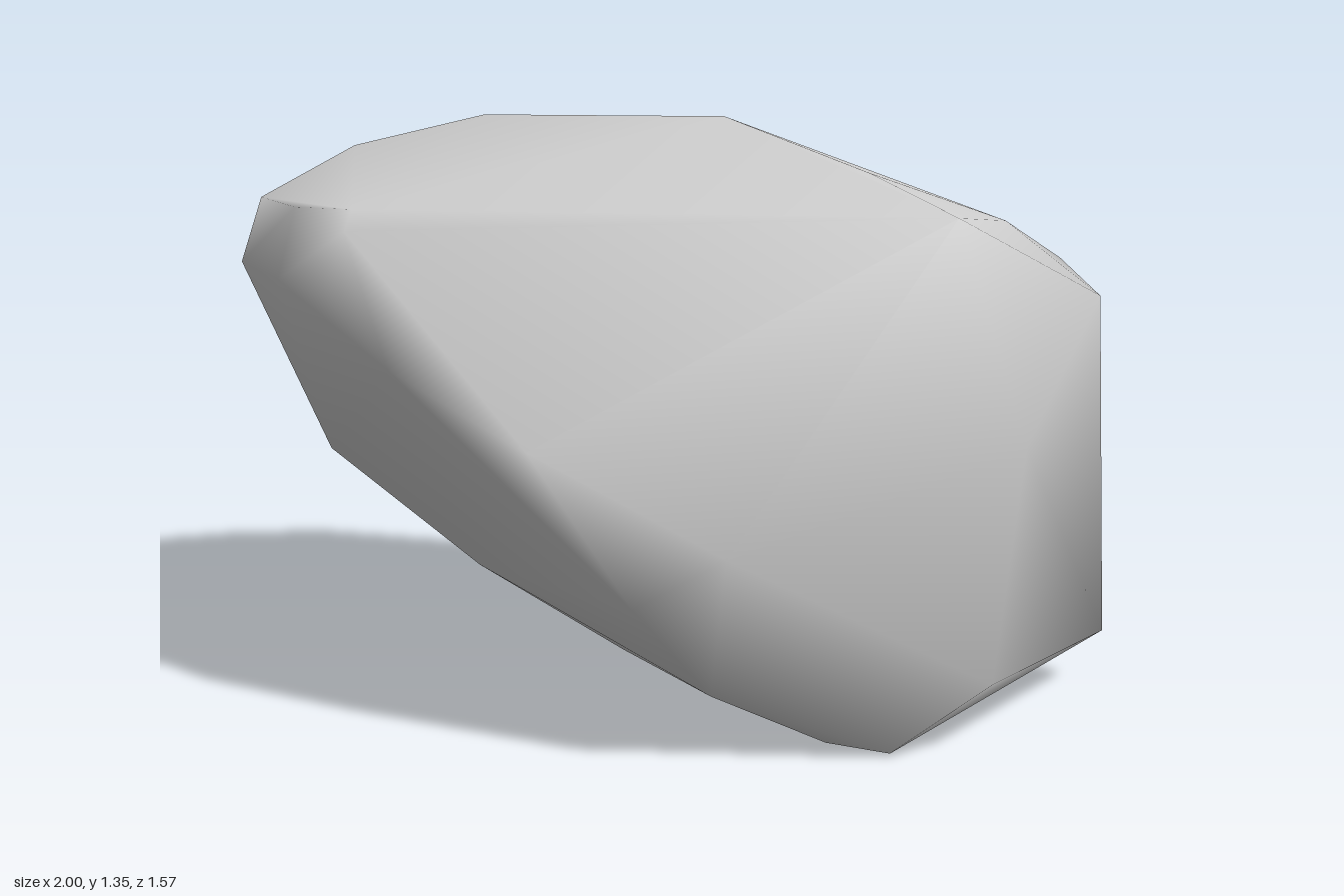
import * as THREE from 'three';
import { ConvexGeometry } from 'three/addons/geometries/ConvexGeometry.js';
import { mergeVertices } from 'three/addons/utils/BufferGeometryUtils.js';

// Corners of the boulder, grouped by region; the convex hull gives the facets
const crown = [
  [-1, 1.28, -0.02], [-0.97, 1.27, 0.1], [-0.8, 1.345, -0.22], [-0.08, 1.35, -0.31],
  [-0.4, 1.3, -0.42], [-0.1, 1.2, -0.54], [0.15, 1.3, -0.22], [0.15, 1.22, -0.41],
  [0.45, 1.235, -0.12], [0.77, 1.16, 0.06], [0.72, 1.13, -0.27], [0.52, 1.13, -0.4],
];
const frontRim = [
  [-0.4, 1.165, 0.68], [-0.6, 1.16, 0.66], [-0.38, 1.12, 0.725], [-0.8, 1.17, 0.58],
  [-0.93, 1.12, 0.46], [-0.82, 1.02, 0.63], [-0.6, 1.0, 0.72], [-0.4, 0.98, 0.765],
  [-0.2, 0.84, 0.785], [0.13, 0.69, 0.725], [0.55, 0.5, 0.605],
];
const leftEnd = [
  [-0.96, 1.08, 0.38], [-0.94, 1.0, 0.43], [-0.94, 1.0, 0.28], [-0.84, 1.05, -0.4],
  [-0.62, 0.51, 0.25], [-0.55, 0.6, 0.62],
];
const rightEnd = [
  [1, 0.99, -0.16], [0.82, 1.045, -0.35], [0.97, 0.7, 0.12], [0.89, 0.16, 0.08],
  [0.89, 0.13, -0.52],
];
const back = [
  [0.25, 0.65, -0.785], [-0.13, 0.66, -0.775], [-0.45, 0.58, -0.63], [0.1, 0.41, -0.69],
];
const underside = [
  [0.68, 0, 0.2], [0.72, 0.01, 0.22], [0.6, 0.03, 0.29], [0.42, 0.15, 0.47],
  [0.32, 0.36, 0.615], [-0.15, 0.37, 0.56], [0.05, 0.07, 0.12], [-0.02, 0.1, 0.2],
  [-0.2, 0.2, 0.11], [0.28, 0.055, -0.15], [-0.04, 0.24, -0.31],
];

export function createModel() {
  const points = [crown, frontRim, leftEnd, rightEnd, back, underside]
    .flat()
    .map((p) => new THREE.Vector3(...p));

  // Weld the hull's corners so the facets blend with smooth normals
  const hull = new ConvexGeometry(points);
  hull.deleteAttribute('normal');
  const geometry = mergeVertices(hull, 1e-4);
  geometry.computeVertexNormals();

  const boulder = new THREE.Mesh(geometry, new THREE.MeshStandardMaterial({ color: 0xcccccc }));
  boulder.name = 'boulder';

  const model = new THREE.Group();
  model.name = 'rock';
  model.add(boulder);
  return model;
}
